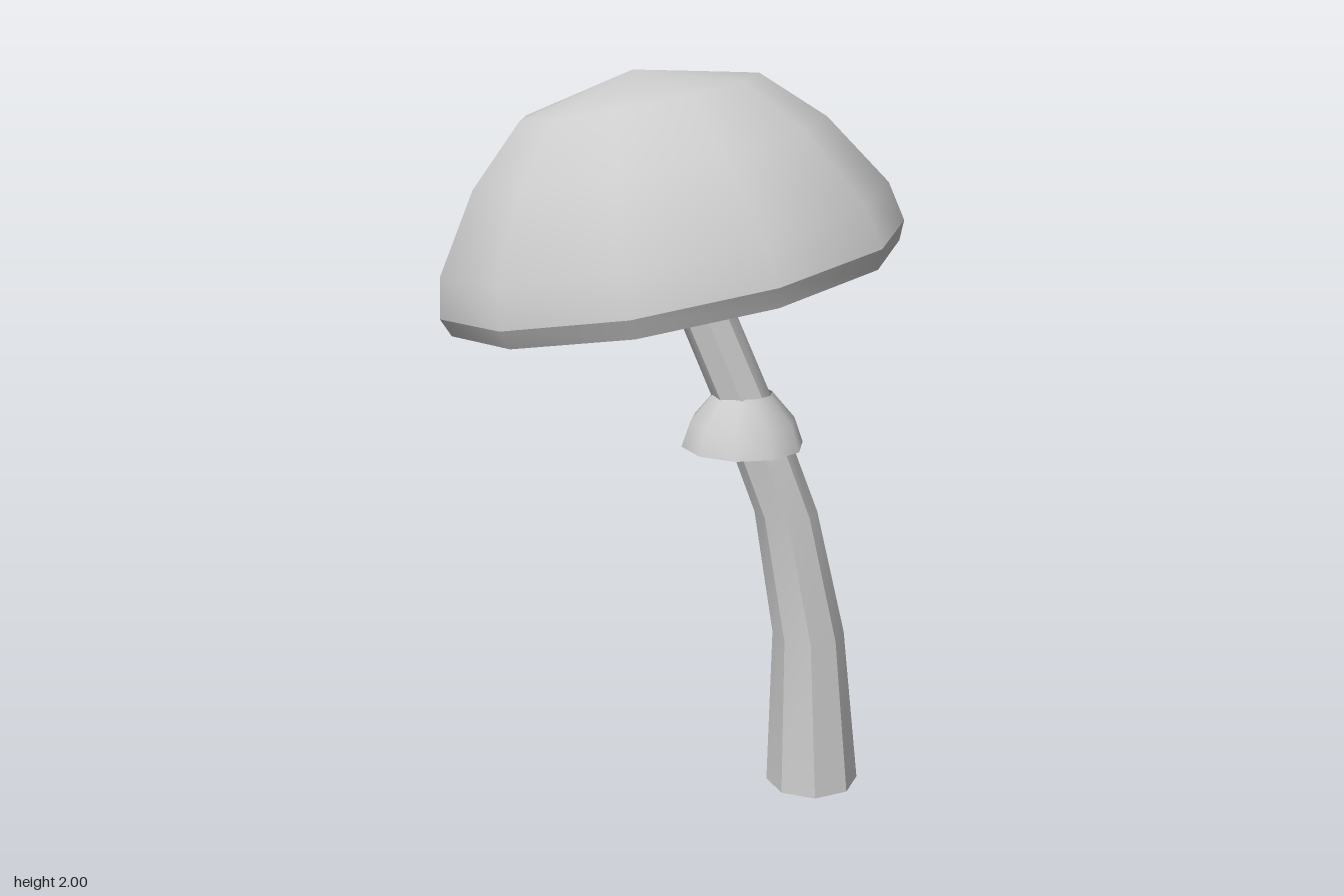
import * as THREE from 'three';
import { toCreasedNormals } from 'three/addons/utils/BufferGeometryUtils.js';

const CREASE = THREE.MathUtils.degToRad(42);

export function createModel() {
  const model = new THREE.Group();
  model.name = 'mushroom';
  const clay = new THREE.MeshStandardMaterial({ color: 0xcccccc, side: THREE.DoubleSide });
  clay.name = 'pale grey';

  function addMesh(parent, name, geometry) {
    const mesh = new THREE.Mesh(toCreasedNormals(geometry, CREASE), clay);
    mesh.name = name;
    parent.add(mesh);
    return mesh;
  }
  // Profiles are [radius, height] pairs, listed so that the surface faces outward
  function lathe(profile, sides, startDegrees = 0) {
    const points = profile.map(([r, y]) => new THREE.Vector2(r, y));
    return new THREE.LatheGeometry(points, sides, THREE.MathUtils.degToRad(startDegrees));
  }

  // Stem: an open eight-sided tube that leans and tapers; rows of [x, y, z, radius]
  const rows = [
    [0.30, 0.005, -0.28, 0.13],
    [0.285, 0.46, -0.265, 0.10],
    [0.24, 0.82, -0.21, 0.086],
    [0.19, 1.00, -0.165, 0.085],
    [0.15, 1.14, -0.125, 0.08],
    [0.07, 1.40, -0.05, 0.078],
    [0.0, 1.64, 0.01, 0.075],
  ];
  const stem = new THREE.CylinderGeometry(1, 1, 1, 8, rows.length - 1, true);
  const p = stem.attributes.position;
  for (let i = 0; i < p.count; i++) {
    const [x, y, z, r] = rows[Math.round((p.getY(i) + 0.5) * (rows.length - 1))];
    // The base ring is tilted slightly, square to the lean
    const tilt = y < 0.1 ? 0.005 * p.getX(i) : 0;
    p.setXYZ(i, x + r * p.getX(i), y + tilt, z + r * p.getZ(i));
  }
  addMesh(model, 'stem', stem);

  // Skirt: a small open bell around the stem
  const skirt = addMesh(model, 'skirt', lathe([[0.167, 1.01], [0.143, 1.08], [0.08, 1.155]], 10));
  skirt.position.set(0.15, 0, -0.128);

  // Cap: an eleven-sided dome, tilted on the stem
  const cap = new THREE.Group();
  cap.name = 'cap';
  cap.position.y = 1.5;
  cap.quaternion.setFromUnitVectors(
    new THREE.Vector3(0, 1, 0), new THREE.Vector3(-0.13, 1, 0.14).normalize());
  model.add(cap);

  const dome = [[0.622, 0], [0.597, 0.105], [0.467, 0.3], [0.315, 0.44], [0, 0.508]];
  addMesh(cap, 'capDome', lathe(dome, 11, 4.1));
  addMesh(cap, 'capRim', lathe([[0.602, -0.05], [0.622, 0]], 11, 4.1));
  // Hollow underside with a socket for the stem
  addMesh(cap, 'capUnderside', lathe([[0.09, 0.14], [0.09, 0.07], [0.602, -0.05]], 11, 4.1));

  return model;
}
